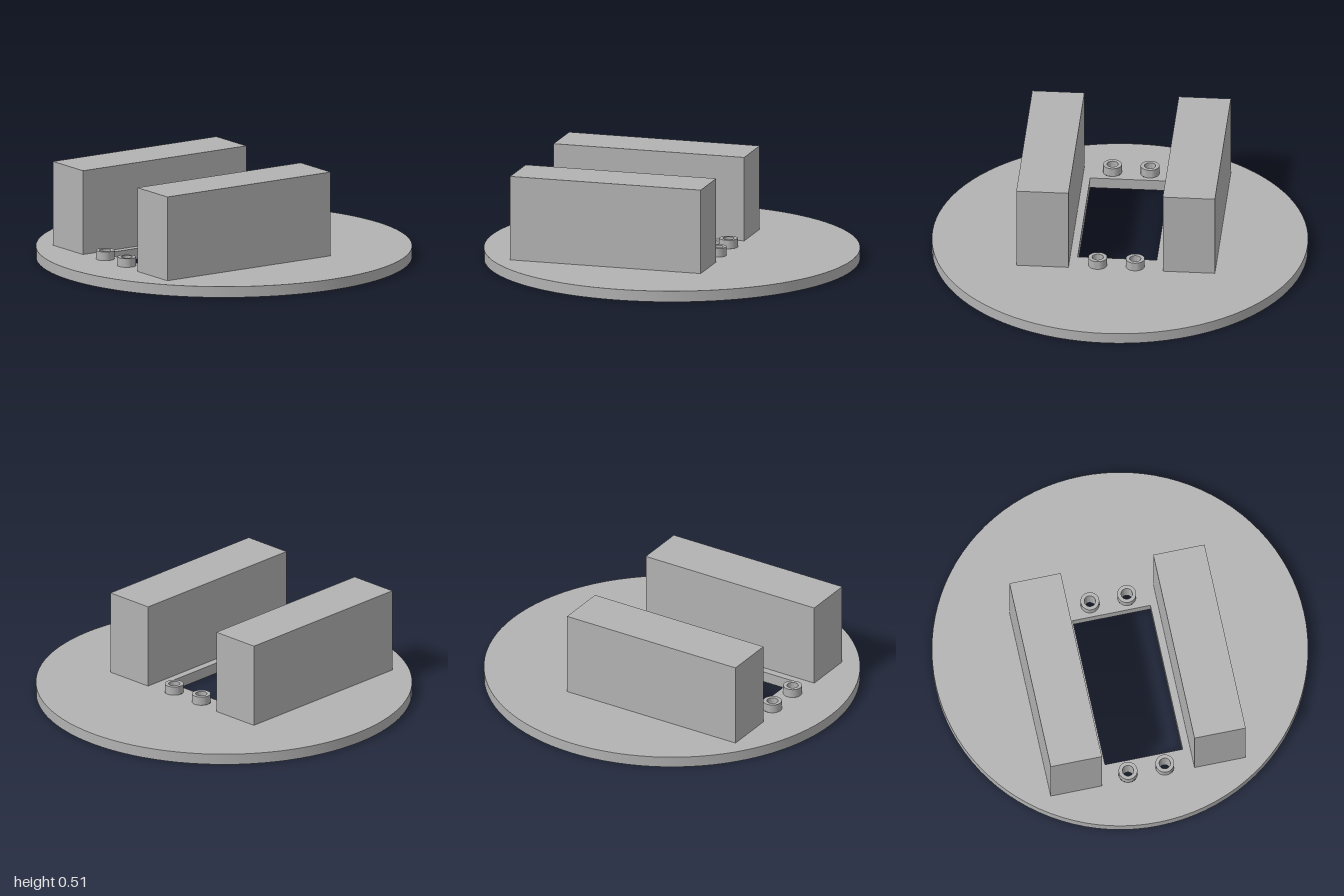
import * as THREE from 'three';
import { toCreasedNormals } from 'three/addons/utils/BufferGeometryUtils.js';

const T = 0.059; // plate thickness
const WIN = { x0: -0.623, x1: 0.209, z0: -0.213, z1: 0.209 };
const BOSS_R = 0.05, BORE_R = 0.03, SCREW_R = 0.025, SCREW_DEPTH = 0.045;

export function createModel() {
  const grey = new THREE.MeshStandardMaterial({ color: 0xb2b2b2 });
  grey.name = 'grey plastic';
  const model = new THREE.Group();
  model.name = 'mountingPlate';

  const add = (name, geometry, x = 0, y = 0, z = 0) => {
    const mesh = new THREE.Mesh(geometry, grey);
    mesh.name = name;
    mesh.position.set(x, y, z);
    model.add(mesh);
    return mesh;
  };

  // Turned part with crisp edges from [radius, height] points
  const lathe = (points, segments) => toCreasedNormals(
    new THREE.LatheGeometry(points.map(([r, y]) => new THREE.Vector2(r, y)), segments), 0.6);

  const bosses = [];
  for (const x of [-0.698, 0.282]) for (const z of [-0.104, 0.096]) bosses.push([x, z]);
  const screws = [];
  for (let i = 0; i < 6; i++) {
    const a = Math.PI / 6 + i * Math.PI / 3;
    screws.push([0.96 * Math.cos(a), 0.96 * Math.sin(a)]);
  }

  // Flat disc face with the window and round holes cut out; s = 1 up, -1 down
  const discFace = (s, holes) => {
    const shape = new THREE.Shape().absarc(0, 0, 1, 0, Math.PI * 2);
    const { x0, x1, z0, z1 } = WIN;
    shape.holes.push(new THREE.Path([[x0, z0], [x1, z0], [x1, z1], [x0, z1]]
      .map(([x, z]) => new THREE.Vector2(x, -s * z))));
    for (const [x, z, r] of holes) {
      shape.holes.push(new THREE.Path().absarc(x, -s * z, r, 0, Math.PI * 2, true));
    }
    return new THREE.ShapeGeometry(shape, 48).rotateX(-s * Math.PI / 2);
  };

  // Round plate
  add('plateTop', discFace(1, bosses.map(([x, z]) => [x, z, BOSS_R])), 0, T, 0);
  add('plateBottom', discFace(-1, [
    ...bosses.map(([x, z]) => [x, z, BORE_R]),
    ...screws.map(([x, z]) => [x, z, SCREW_R]),
  ]));
  add('plateRim', lathe([[1, 0], [1, T]], 96));

  // Inner walls of the rectangular window
  const w = WIN.x1 - WIN.x0, d = WIN.z1 - WIN.z0;
  const cx = (WIN.x0 + WIN.x1) / 2, cz = (WIN.z0 + WIN.z1) / 2;
  for (let i = 0; i < 4; i++) {
    const [len, dist] = i % 2 ? [d, w / 2] : [w, d / 2];
    const wall = new THREE.PlaneGeometry(len, T).translate(0, 0, -dist).rotateY(i * Math.PI / 2);
    add('windowWall', wall, cx, T / 2, cz);
  }

  // Hollow screw bosses, bored right through the plate
  const boss = lathe([[BOSS_R, T], [BOSS_R, 0.106], [BORE_R, 0.106], [BORE_R, 0]], 32);
  for (const [x, z] of bosses) add('screwBoss', boss, x, 0, z);

  // Blind screw holes around the underside
  const screwHole = lathe([[0, SCREW_DEPTH], [SCREW_R, SCREW_DEPTH], [SCREW_R, 0]], 32);
  for (const [x, z] of screws) add('rimScrewHole', screwHole, x, 0, z);

  // Two tall blocks beside the window
  const block = new THREE.BoxGeometry(1.06, 0.515 - T, 0.278);
  add('frontBlock', block, -0.207, (0.515 + T) / 2, 0.388);
  add('backBlock', block, -0.207, (0.515 + T) / 2, -0.393);

  return model;
}
